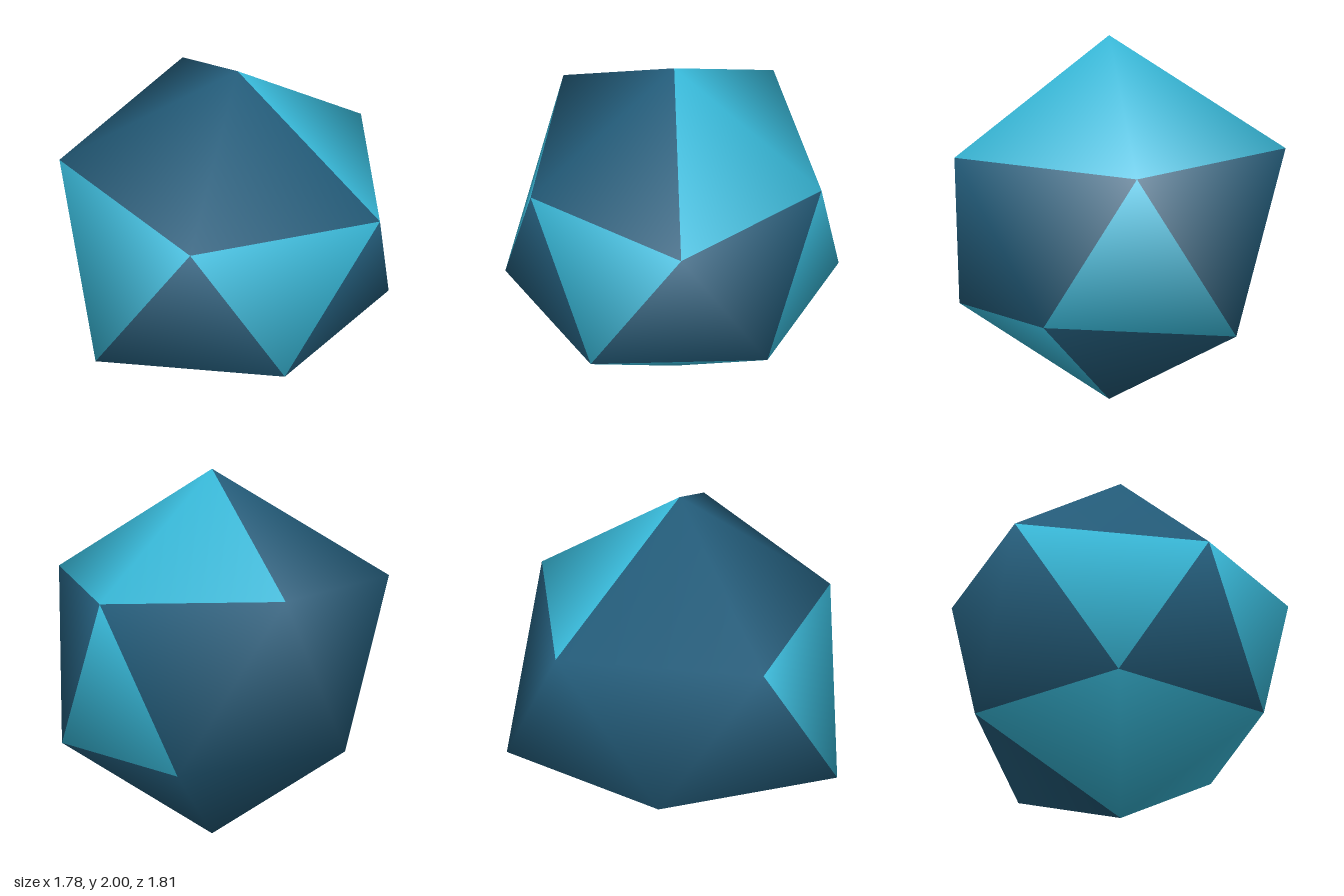
import * as THREE from 'three';

export function createModel() {
  const group = new THREE.Group();
  const lightBlue = new THREE.MeshStandardMaterial({ color: 0x3abfe0 });
  lightBlue.name = 'lightBlue';
  const darkBlue = new THREE.MeshStandardMaterial({ color: 0x25607f });
  darkBlue.name = 'darkBlue';

  // Two poles and two staggered rings of five corners
  const top = [-0.064, 2, 0];
  const bottom = [-0.064, 0, 0];
  const upper = [[0.89, 1.4, 0], [0.19, 1.34, 0.79], [-0.845, 1.4, 0.57], [-0.845, 1.4, -0.57], [0.19, 1.34, -0.79]];
  const lower = [[0.6, 0.51, 0.48], [-0.36, 0.45, 0.905], [-0.893, 0.51, 0], [-0.36, 0.45, -0.905], [0.6, 0.51, -0.48]];
  const corners = [top, ...upper, ...lower, bottom];
  const U = (i) => 1 + (i % 5);
  const L = (i) => 6 + (i % 5);

  // Facets of each band, with L for light and D for dark
  const bands = [
    { tones: 'DDDLL', face: (i) => [0, U(i + 1), U(i)] },
    { tones: 'LLDDD', face: (i) => [U(i), U(i + 1), L(i)] },
    { tones: 'DDDLD', face: (i) => [U(i + 1), L(i + 1), L(i)] },
    { tones: 'LLDDL', face: (i) => [11, L(i), L(i + 1)] },
  ];
  const light = [];
  const dark = [];
  for (const { tones, face } of bands) {
    for (let i = 0; i < 5; i++) (tones[i] === 'L' ? light : dark).push(...face(i));
  }

  // Shared corners give smooth normals across all facets
  const geometry = new THREE.BufferGeometry();
  geometry.setAttribute('position', new THREE.Float32BufferAttribute(corners.flat(), 3));
  geometry.setIndex([...light, ...dark]);
  geometry.computeVertexNormals();
  geometry.addGroup(0, light.length, 0);
  geometry.addGroup(light.length, dark.length, 1);

  const gem = new THREE.Mesh(geometry, [lightBlue, darkBlue]);
  gem.name = 'icosahedron';
  group.add(gem);
  return group;
}
